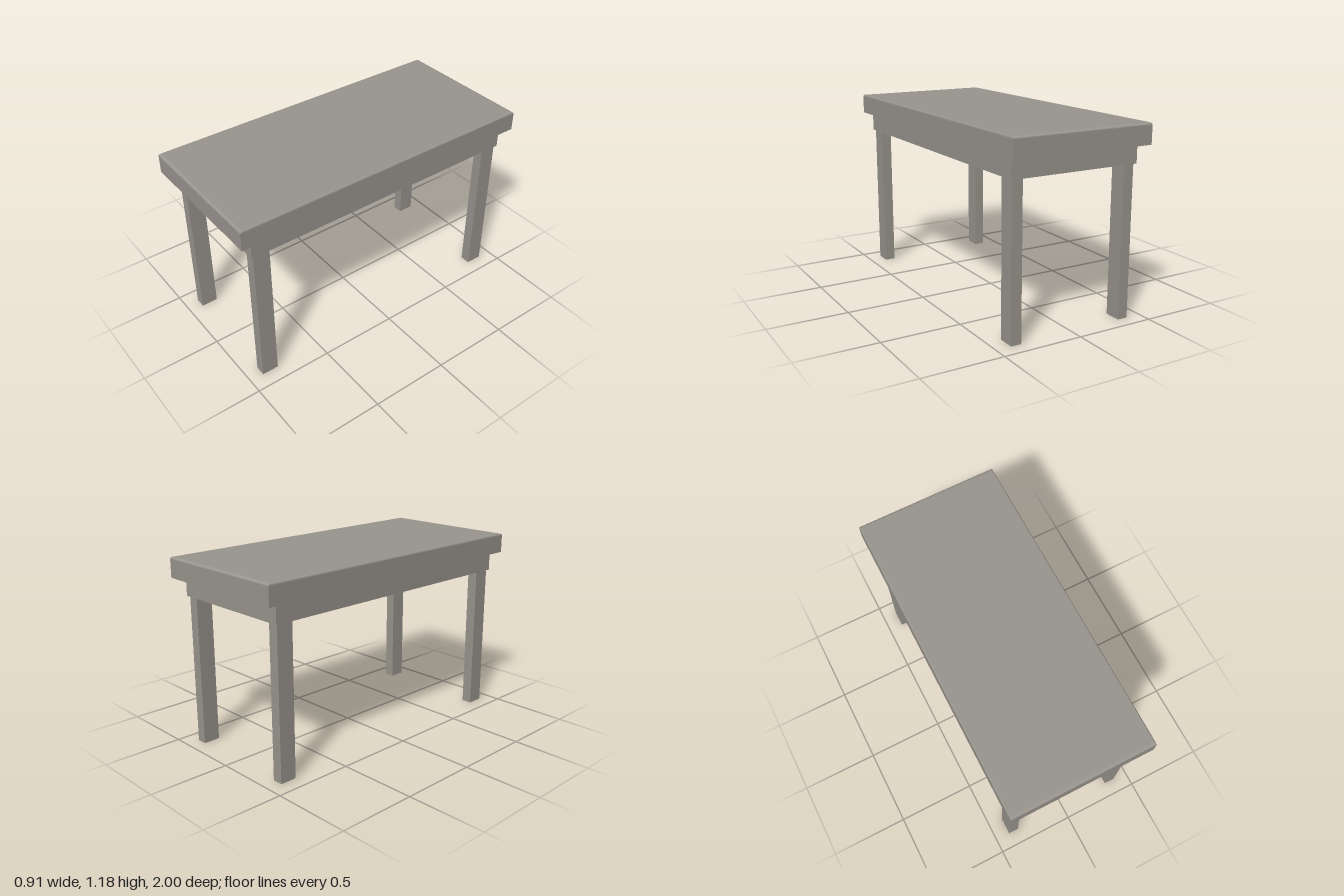
import * as THREE from 'three';

export function createModel() {
  const table = new THREE.Group();
  table.name = 'table';
  const wood = new THREE.MeshStandardMaterial({ color: 0x99958e });
  wood.name = 'greyWood';

  function add(name, geometry, x = 0, y = 0, z = 0) {
    const mesh = new THREE.Mesh(geometry, wood);
    mesh.name = name;
    mesh.position.set(x, y, z);
    table.add(mesh);
  }

  // Top slab: four-sided lathe with a softly rounded upper edge
  const bottom = 1.054, top = 1.18, inset = 0.02, drop = 0.012, steps = 4;
  const profile = [[0, bottom], [1, bottom]];
  for (let i = 0; i <= steps; i++) {
    const a = (i / steps) * Math.PI / 2;
    profile.push([1 - inset * (1 - Math.cos(a)), top - drop * (1 - Math.sin(a))]);
  }
  profile.push([0, top]);
  const points = profile.map(([r, y]) => new THREE.Vector2(r * Math.SQRT2, y));
  const slab = new THREE.LatheGeometry(points, 4)
    .rotateY(Math.PI / 4).scale(0.455, 1, 1).toNonIndexed();
  slab.computeVertexNormals();
  add('tableTop', slab);

  // Apron: rectangular frame under the top
  const apronBottom = 0.938;
  const rect = (target, x, z) => target.moveTo(-x, -z).lineTo(x, -z).lineTo(x, z).lineTo(-x, z).closePath();
  const frame = rect(new THREE.Shape(), 0.417, 0.925);
  frame.holes.push(rect(new THREE.Path(), 0.328, 0.79));
  const apron = new THREE.ExtrudeGeometry(frame, { depth: bottom - apronBottom, bevelEnabled: false });
  add('apron', apron.rotateX(-Math.PI / 2), 0, apronBottom, 0);

  // Four square legs set just inside the apron edge
  const leg = new THREE.BoxGeometry(0.066, apronBottom, 0.106);
  for (const x of [-1, 1]) {
    for (const z of [-1, 1]) {
      const name = (z > 0 ? 'front' : 'back') + (x > 0 ? 'Left' : 'Right') + 'Leg';
      add(name, leg, x * 0.372, apronBottom / 2, z * 0.858);
    }
  }
  return table;
}
